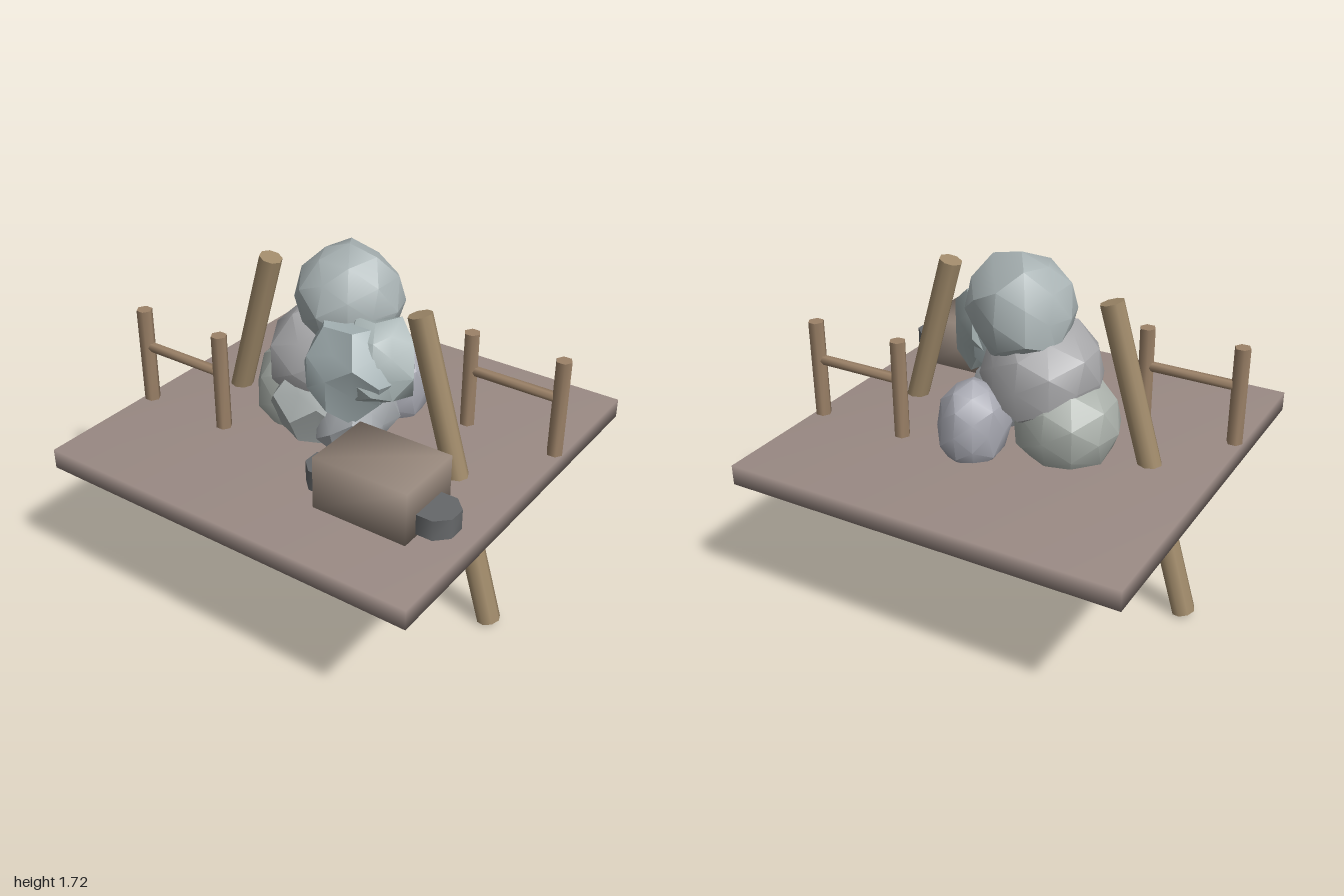
import * as THREE from 'three';
import { mergeVertices, toCreasedNormals } from 'three/addons/utils/BufferGeometryUtils.js';

const mat = (color, extra = {}) => new THREE.MeshStandardMaterial({ color, ...extra });
const WOOD = mat(0xa08a6a);
const RAIL = mat(0x9c8268);
const BOARD = mat(0x9a8a84);
const BOX = mat(0x9a8a7e);
const DARK = mat(0x66686a);

function add(parent, name, geometry, material, x = 0, y = 0, z = 0) {
  const mesh = new THREE.Mesh(geometry, material);
  mesh.name = name;
  mesh.position.set(x, y, z);
  parent.add(mesh);
  return mesh;
}

// box whose corners share averaged normals, for soft shading
function softBox(w, h, d) {
  const g = new THREE.BoxGeometry(w, h, d);
  g.deleteAttribute('normal');
  g.deleteAttribute('uv');
  const welded = mergeVertices(g);
  welded.computeVertexNormals();
  return welded;
}

// round bar between two points
function bar(parent, name, a, b, radius, sides, material) {
  const from = new THREE.Vector3(...a), to = new THREE.Vector3(...b);
  const dir = to.clone().sub(from);
  const g = toCreasedNormals(new THREE.CylinderGeometry(radius, radius, dir.length(), sides), 1.1);
  const mesh = add(parent, name, g, material);
  mesh.position.copy(from).add(to).multiplyScalar(0.5);
  mesh.quaternion.setFromUnitVectors(new THREE.Vector3(0, 1, 0), dir.normalize());
  return mesh;
}

function seeded(seed) {
  let s = seed * 7919 + 17;
  return () => {
    s = (s * 16807) % 2147483647;
    return s / 2147483647;
  };
}

// lumpy boulder: a coarse sphere with each corner pushed in or out
function boulder(radii, rough, seed) {
  let g = new THREE.IcosahedronGeometry(1, 1);
  g.deleteAttribute('normal');
  g.deleteAttribute('uv');
  g = mergeVertices(g, 1e-3);
  const rand = seeded(seed), p = g.attributes.position, v = new THREE.Vector3();
  for (let k = 0; k < 5; k++) rand();
  for (let i = 0; i < p.count; i++) {
    v.fromBufferAttribute(p, i).multiplyScalar(1 + (rand() - 0.5) * rough);
    p.setXYZ(i, v.x * radii[0], v.y * radii[1], v.z * radii[2]);
  }
  return toCreasedNormals(g, 0.6);
}

export function createModel() {
  const model = new THREE.Group();
  model.name = 'rockPlatform';

  add(model, 'platform', softBox(2, 0.1, 2), BOARD, 0, 0.74, 0);

  // two leaning poles that pass through the platform
  bar(model, 'rightPole', [-0.905, 0.018, -0.02], [-0.465, 1.555, -0.03], 0.058, 8, WOOD);
  bar(model, 'leftPole', [0.89, 0.018, 0.05], [0.455, 1.555, 0.08], 0.058, 8, WOOD);

  // two short fences on opposite sides
  for (const [name, cx, z] of [['frontFence', -0.72, 0.36], ['backFence', 0.72, -0.36]]) {
    const fence = new THREE.Group();
    fence.name = name;
    for (const s of [-1, 1]) {
      const x = cx + s * 0.24;
      const post = bar(fence, 'post', [x, 0.685, z], [x, 1.29, z], 0.04, 6, RAIL);
      post.rotation.y = Math.PI / 2;
    }
    bar(fence, 'rail', [cx - 0.22, 1.09, z], [cx + 0.22, 1.09, z], 0.025, 6, RAIL);
    model.add(fence);
  }

  // crate with a flat round disc at each end
  const crate = new THREE.Group();
  crate.name = 'crate';
  add(crate, 'crateBody', softBox(0.48, 0.26, 0.36), BOX, 0.56, 0.96, 0.52);
  for (const s of [-1, 1]) {
    const disc = new THREE.CylinderGeometry(0.11, 0.11, 0.1, 8);
    disc.rotateY(Math.PI / 8);
    add(crate, 'disc', toCreasedNormals(disc, 1), DARK, 0.56 + s * 0.28, 0.895, 0.52);
  }
  model.add(crate);

  // heap of boulders: position, radii, roughness, colour
  const rocks = new THREE.Group();
  rocks.name = 'rockPile';
  const heap = [
    [[-0.02, 1.45, -0.06], [0.27, 0.27, 0.26], 0.14, 0xa9b3b4],
    [[-0.13, 1.14, -0.04], [0.3, 0.27, 0.29], 0.14, 0xa8a8aa],
    [[-0.27, 0.92, -0.06], [0.27, 0.26, 0.28], 0.14, 0xaab0aa],
    [[0.1, 0.93, -0.31], [0.17, 0.23, 0.19], 0.12, 0xa8a9b2],
    [[-0.1, 0.92, 0.1], [0.22, 0.25, 0.19], 0.35, 0xa4aaa9],
    [[0.12, 0.92, 0.08], [0.18, 0.2, 0.2], 0.35, 0xa4a8ac],
    [[0.12, 1.22, 0.12], [0.24, 0.25, 0.21], 0.35, 0xa3b0b2],
    [[0.24, 1.24, 0.11], [0.18, 0.23, 0.2], 0.45, 0xa3afaf],
  ];
  heap.forEach(([pos, radii, rough, color], i) =>
    add(rocks, 'boulder', boulder(radii, rough, i + 3), mat(color), ...pos));
  model.add(rocks);

  return model;
}
